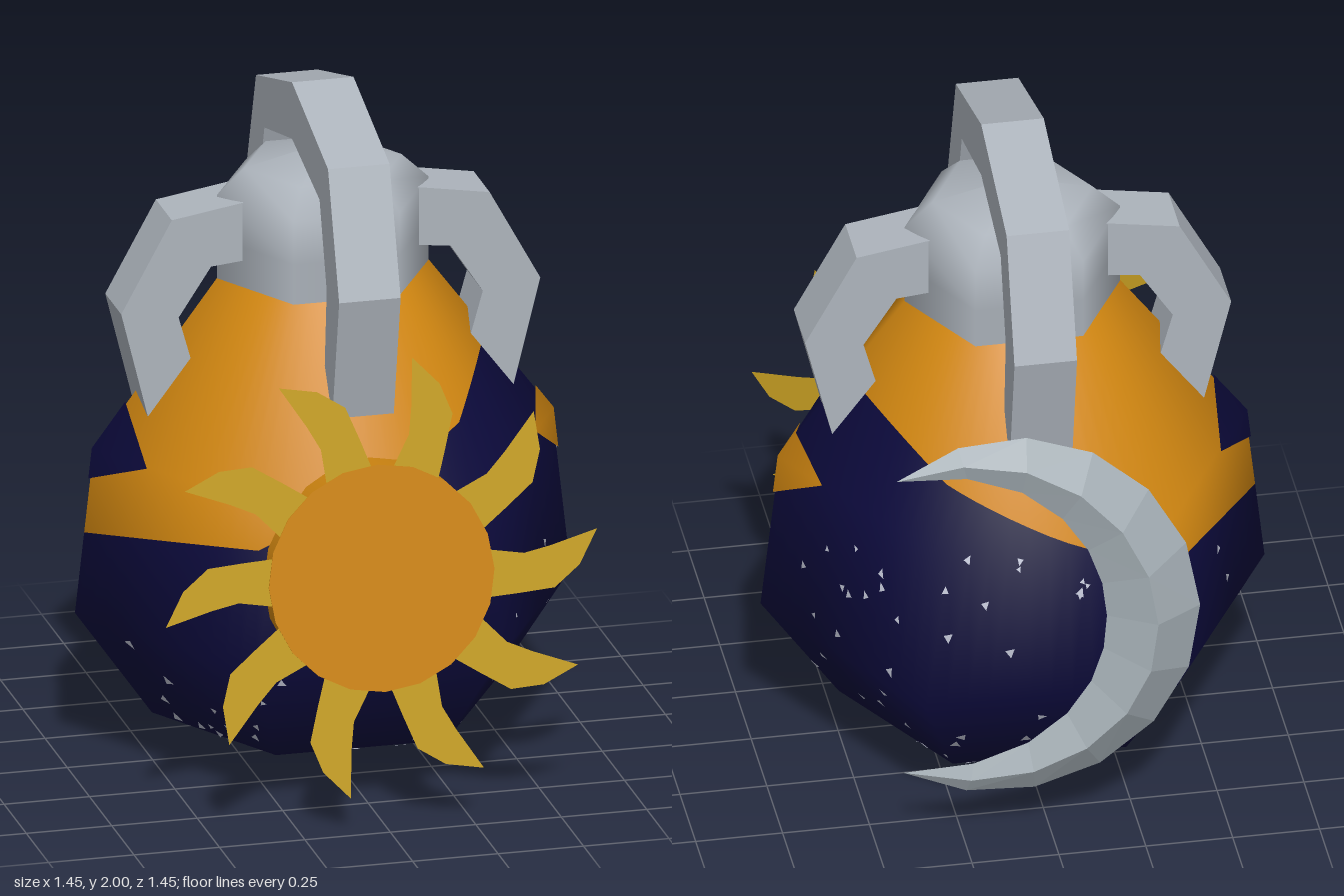
import * as THREE from 'three';

const mat = (name, color, side = THREE.FrontSide) => {
  const m = new THREE.MeshStandardMaterial({ color, side });
  m.name = name;
  return m;
};

const CZ = -0.01; // z of the vessel axis
// Body profile: height, corner radius, radial and vertical normal parts
const PROFILE = [
  [0, 0, 0, -1], [0.14, 0.5, 0.58, -0.77], [0.46, 0.725, 0.95, -0.23],
  [0.95, 0.67, 0.93, 0.36], [1.43, 0.31, 0.8, 0.6],
];
// Height where the two body colours meet, at each of the six corners
const BORDER = [1.21, 1.11, 0.82, 0.7, 0.82, 1.11];
const borderAt = (u) => {
  const k = Math.floor(u), f = u - k;
  return THREE.MathUtils.lerp(BORDER[((k % 6) + 6) % 6], BORDER[(((k + 1) % 6) + 6) % 6], f);
};

// Point and smooth normal on the hexagonal body; u counts corners from +x towards +z
function surf(u, y, off = 0) {
  let i = 0;
  while (i < PROFILE.length - 2 && y > PROFILE[i + 1][0]) i++;
  const A = PROFILE[i], B = PROFILE[i + 1], g = (y - A[0]) / (B[0] - A[0]);
  const [r, nr, ny] = [1, 2, 3].map((j) => A[j] + (B[j] - A[j]) * g);
  const k = Math.floor(u), f = u - k, a = k * Math.PI / 3, b = a + Math.PI / 3;
  const dx = Math.cos(a) * (1 - f) + Math.cos(b) * f;
  const dz = Math.sin(a) * (1 - f) + Math.sin(b) * f;
  const n = new THREE.Vector3(dx * nr, ny, dz * nr).normalize();
  const p = new THREE.Vector3(dx * r, y, dz * r + CZ).addScaledVector(n, off);
  return { p, n };
}

// Mesh from a flat list of surface points, three per triangle
function surfMesh(name, pts, material) {
  const g = new THREE.BufferGeometry();
  g.setAttribute('position', new THREE.Float32BufferAttribute(pts.flatMap((s) => s.p.toArray()), 3));
  g.setAttribute('normal', new THREE.Float32BufferAttribute(pts.flatMap((s) => s.n.toArray()), 3));
  const m = new THREE.Mesh(g, material);
  m.name = name;
  return m;
}

// Band of body between levels that depend on the border height
function band(name, levels, material) {
  const pts = [], N = 12;
  for (let c = 0; c < 6 * N; c++) {
    const u0 = c / N, u1 = (c + 1) / N;
    const l0 = levels(borderAt(u0)), l1 = levels(borderAt(u1));
    for (let i = 0; i < l0.length - 1; i++) {
      const a = surf(u0, l0[i]), b = surf(u1, l1[i]);
      const a2 = surf(u0, l0[i + 1]), b2 = surf(u1, l1[i + 1]);
      pts.push(b, a, a2, b, a2, b2);
    }
  }
  return surfMesh(name, pts, material);
}

// Painted diamond folded over a body corner
function diamond(name, u, half, top, bottom, material) {
  const at = (du, y) => surf(u + du, y, 0.006);
  const t = at(0, top), m = at(0, 0.95), b = at(0, bottom);
  const l = at(half, 0.945), r = at(-half, 0.945);
  return surfMesh(name, [t, l, m, m, l, b, t, m, r, m, b, r], material);
}

// Flat-sided bar with the given outline, centred on its thickness
function bar(name, outline, width, material) {
  const shape = new THREE.Shape(outline.map(([x, y]) => new THREE.Vector2(x, y)));
  const g = new THREE.ExtrudeGeometry(shape, { depth: width, bevelEnabled: false });
  g.translate(0, 0, -width / 2);
  const m = new THREE.Mesh(g, material);
  m.name = name;
  return m;
}

// Crescent with a raised ridge, swept along an arc with a triangular section
function crescentGeometry() {
  const N = 12, pos = [], idx = [];
  const baseZ = (y) => -0.63 + 0.13 * (Math.max(0, y - 0.35) / 0.9) ** 2;
  for (let i = 0; i <= N; i++) {
    const s = i / N, a = THREE.MathUtils.degToRad(56 + 248 * s), sw = Math.sin(Math.PI * s);
    const w = 0.27 * Math.max(sw, 0) ** 0.8;
    [[0, 0], [0.5, 0.085], [1, 0.01]].forEach(([k, lift]) => {
      const r = 0.55 - w * k, y = 0.71 + r * Math.sin(a);
      pos.push(0.12 + r * Math.cos(a), y, baseZ(y) - 0.01 - lift * sw);
    });
  }
  for (let i = 0; i < N; i++) {
    for (let j = 0; j < 3; j++) {
      const a = i * 3 + j, b = i * 3 + (j + 1) % 3, c = a + 3, d = b + 3;
      idx.push(a, c, b, b, c, d);
    }
  }
  const g = new THREE.BufferGeometry();
  g.setAttribute('position', new THREE.Float32BufferAttribute(pos, 3));
  g.setIndex(idx);
  const flat = g.toNonIndexed();
  flat.computeVertexNormals();
  return flat;
}

export function createModel() {
  const root = new THREE.Group();
  root.name = 'vessel';
  const navy = mat('night blue', 0x0c0a3c);
  const orange = mat('orange', 0xd08611);
  const steel = mat('light grey', 0xadb4bc);
  const gold = mat('gold', 0xc8a022, THREE.DoubleSide);
  const silver = mat('moon grey', 0xa0aab0, THREE.DoubleSide);
  const starMat = mat('star white', 0xc4c8d8, THREE.DoubleSide);

  // Body in two colours
  root.add(band('lowerBody', (b) => [0, 0.14, 0.46, Math.min(0.95, b), b], navy));
  root.add(band('upperBody', (b) => [b, Math.max(0.95, b), 1.43], orange));
  root.add(diamond('orangeDiamond', 0, 0.29, 1.02, 0.83, orange));
  root.add(diamond('blueDiamond', 3, 0.33, 1.08, 0.86, navy));

  // Scattered star flecks
  let seed = 7;
  const rnd = () => (seed = (seed * 16807) % 2147483647) / 2147483647;
  const stars = [];
  for (let i = 0; i < 130; i++) {
    const u = rnd() * 6, y = 0.06 + 0.9 * rnd() ** 1.8, turn = rnd() * 6.28, size = 0.01 + 0.009 * rnd();
    if (y > borderAt(u) - 0.05) continue;
    const R = Math.max(0.2, surf(u, y).p.length() * 0.9);
    for (let k = 0; k < 3; k++) {
      const a = turn + k * 2.1;
      stars.push(surf(u - size * Math.cos(a) / R, y + size * Math.sin(a), 0.004));
    }
  }
  root.add(surfMesh('stars', stars, starMat));

  // Domed hexagonal cap
  const capProfile = [[0.31, 1.42], [0.31, 1.55], [0.31, 1.68], [0.23, 1.755], [0, 1.81]];
  const cap = new THREE.Mesh(new THREE.LatheGeometry(
    capProfile.map(([r, y]) => new THREE.Vector2(r, y)), 6, Math.PI / 2), steel);
  cap.name = 'cap';
  cap.position.z = CZ;
  root.add(cap);

  // Tall handle over the cap, running front to back
  const outer = [[0.45, 1.13], [0.53, 1.52], [0.405, 1.88], [0, 2], [-0.405, 1.88], [-0.53, 1.52], [-0.45, 1.13]];
  const inner = [[-0.36, 1.19], [-0.39, 1.51], [-0.31, 1.755], [0, 1.83], [0.31, 1.755], [0.39, 1.51], [0.36, 1.19]];
  const topHandle = bar('topHandle', [...outer, ...inner], 0.18, steel);
  topHandle.rotation.y = -Math.PI / 2;
  topHandle.position.z = CZ;
  root.add(topHandle);

  // Small side handles
  const side = [[0.25, 1.685], [0.465, 1.65], [0.613, 1.38], [0.535, 1.065],
    [0.41, 1.23], [0.445, 1.355], [0.35, 1.5], [0.25, 1.51]];
  for (const s of [1, -1]) {
    const h = bar(s > 0 ? 'leftHandle' : 'rightHandle', side, 0.18, steel);
    h.rotation.y = s > 0 ? 0 : Math.PI;
    h.position.z = CZ;
    root.add(h);
  }

  // Sun on the front: thick disc with ten curved flat rays
  const sun = new THREE.Group();
  sun.name = 'sun';
  sun.position.set(0, 0.73, 0.65);
  sun.rotation.x = -0.131;
  const disc = new THREE.Mesh(new THREE.CylinderGeometry(0.33, 0.33, 0.1, 20), orange);
  disc.name = 'sunDisc';
  disc.rotation.x = Math.PI / 2;
  disc.position.z = -0.047;
  sun.add(disc);
  const rayPoints = [[0.32, -15], [0.41, -11], [0.51, -8], [0.58, -1], [0.64, 8], [0.5, 6], [0.42, 5], [0.32, 10]];
  const ray = new THREE.ShapeGeometry(new THREE.Shape(rayPoints.map(([r, d]) => {
    const a = THREE.MathUtils.degToRad(d);
    return new THREE.Vector2(r * Math.cos(a), r * Math.sin(a));
  })));
  for (let i = 0; i < 10; i++) {
    const m = new THREE.Mesh(ray, gold);
    m.name = 'sunRay';
    m.rotation.z = i * Math.PI / 5;
    sun.add(m);
  }
  root.add(sun);

  // Crescent moon on the back
  const moon = new THREE.Mesh(crescentGeometry(), silver);
  moon.name = 'moon';
  root.add(moon);

  return root;
}
